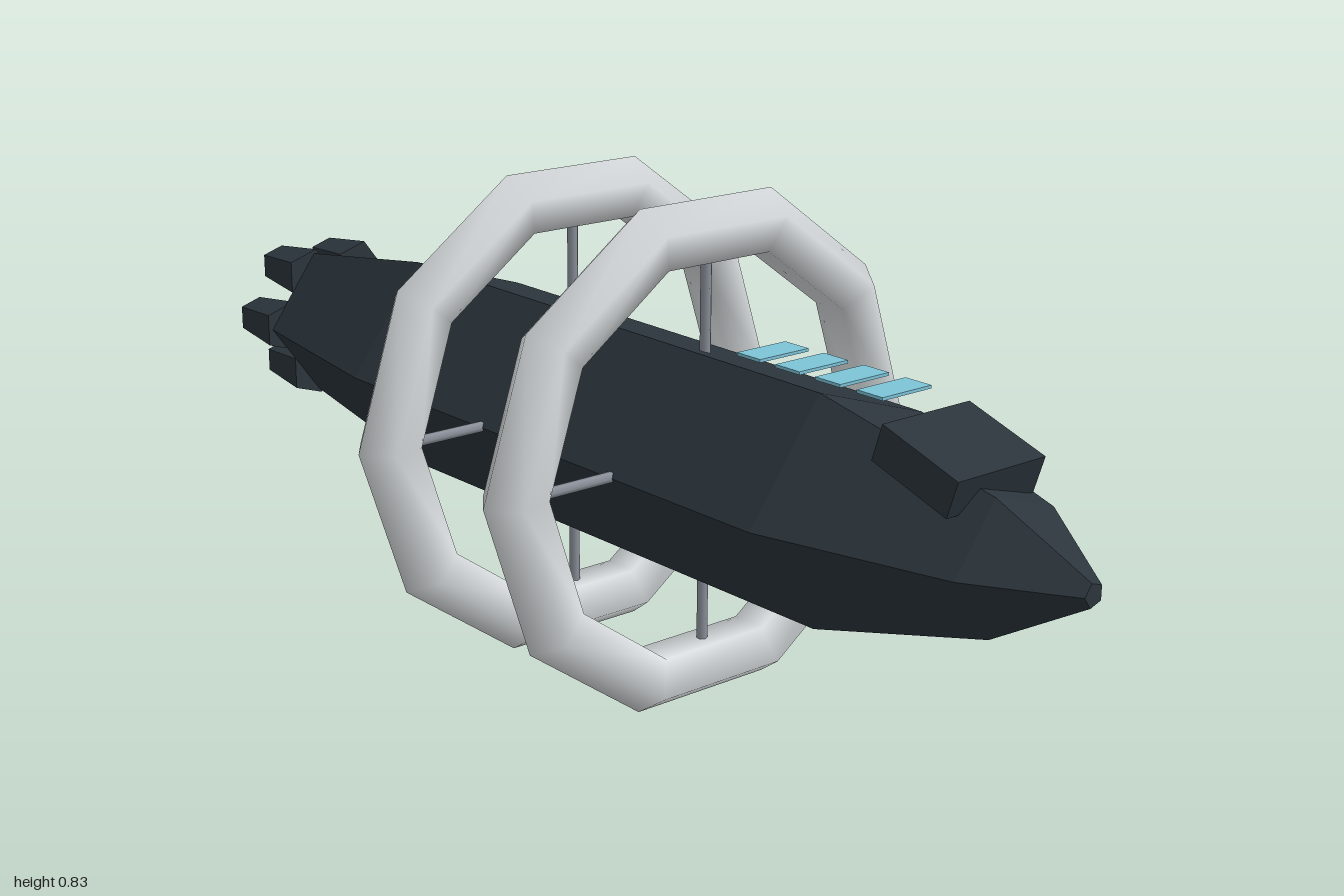
import * as THREE from 'three';

const AXIS_Y = 0.415;

const mats = {
  hull: new THREE.MeshStandardMaterial({ name: 'darkHull', color: 0x2c353c }),
  ring: new THREE.MeshStandardMaterial({ name: 'paleRing', color: 0xd8dcde }),
  strut: new THREE.MeshStandardMaterial({ name: 'greyStrut', color: 0x8a909a }),
  glow: new THREE.MeshStandardMaterial({ name: 'blueGlow', color: 0x7cc4d8 }),
};

// Give every face its own normal for a faceted look
function faceted(geometry) {
  const flat = geometry.index ? geometry.toNonIndexed() : geometry;
  flat.computeVertexNormals();
  return flat;
}

function add(parent, name, geometry, material, x = 0, y = 0, z = 0) {
  const mesh = new THREE.Mesh(geometry, material);
  mesh.name = name;
  mesh.position.set(x, y, z);
  parent.add(mesh);
  return mesh;
}

export function createModel() {
  const ship = new THREE.Group();
  ship.name = 'spaceship';

  // Five-sided hull, radius against z from stern to nose
  const profile = [
    [0, -0.88], [0.142, -0.88], [0.2, -0.5], [0.194, 0.53],
    [0.11, 0.85], [0.019, 1], [0, 1],
  ].map(([r, z]) => new THREE.Vector2(r, z));
  const hull = new THREE.LatheGeometry(profile, 5, -Math.PI / 2).rotateX(Math.PI / 2);
  add(ship, 'hull', faceted(hull), mats.hull, 0, AXIS_Y, 0);

  // Sloping bridge block on the nose
  const bridge = add(ship, 'bridge', new THREE.BoxGeometry(0.178, 0.061, 0.153), mats.hull, 0, 0.543, 0.748);
  bridge.rotation.x = 0.314;

  // Row of window plates above the bow
  for (let i = 0; i < 4; i++) {
    add(ship, 'window', new THREE.BoxGeometry(0.1, 0.005, 0.052), mats.glow, 0, 0.615, 0.365 + i * 0.085);
  }

  // Two ten-sided habitat rings on crossed struts
  for (const z of [0.21, -0.127]) {
    const wheel = new THREE.Group();
    wheel.name = 'habitatRing';
    wheel.position.set(0, AXIS_Y, z);
    add(wheel, 'ring', new THREE.TorusGeometry(0.379, 0.055, 5, 10), mats.ring);
    for (const turn of [0, Math.PI / 2]) {
      const strut = add(wheel, 'strut', new THREE.CylinderGeometry(0.009, 0.009, 0.72, 6), mats.strut);
      strut.rotation.z = turn;
    }
    ship.add(wheel);
  }

  // Six tapered thrusters around the stern, each with a glowing outlet
  const nozzle = faceted(new THREE.CylinderGeometry(0.05, 0.036, 0.12, 5, 1, false, Math.PI / 2).rotateX(Math.PI / 2));
  const outlet = new THREE.CylinderGeometry(0.034, 0.034, 0.004, 5, 1, false, Math.PI / 2).rotateX(Math.PI / 2);
  for (let i = 0; i < 6; i++) {
    const a = (i * Math.PI) / 3;
    const x = 0.11 * Math.cos(a);
    const y = AXIS_Y + 0.11 * Math.sin(a);
    add(ship, 'thruster', nozzle, mats.hull, x, y, -0.938);
    add(ship, 'thrusterGlow', outlet, mats.glow, x, y, -0.998);
  }

  return ship;
}
